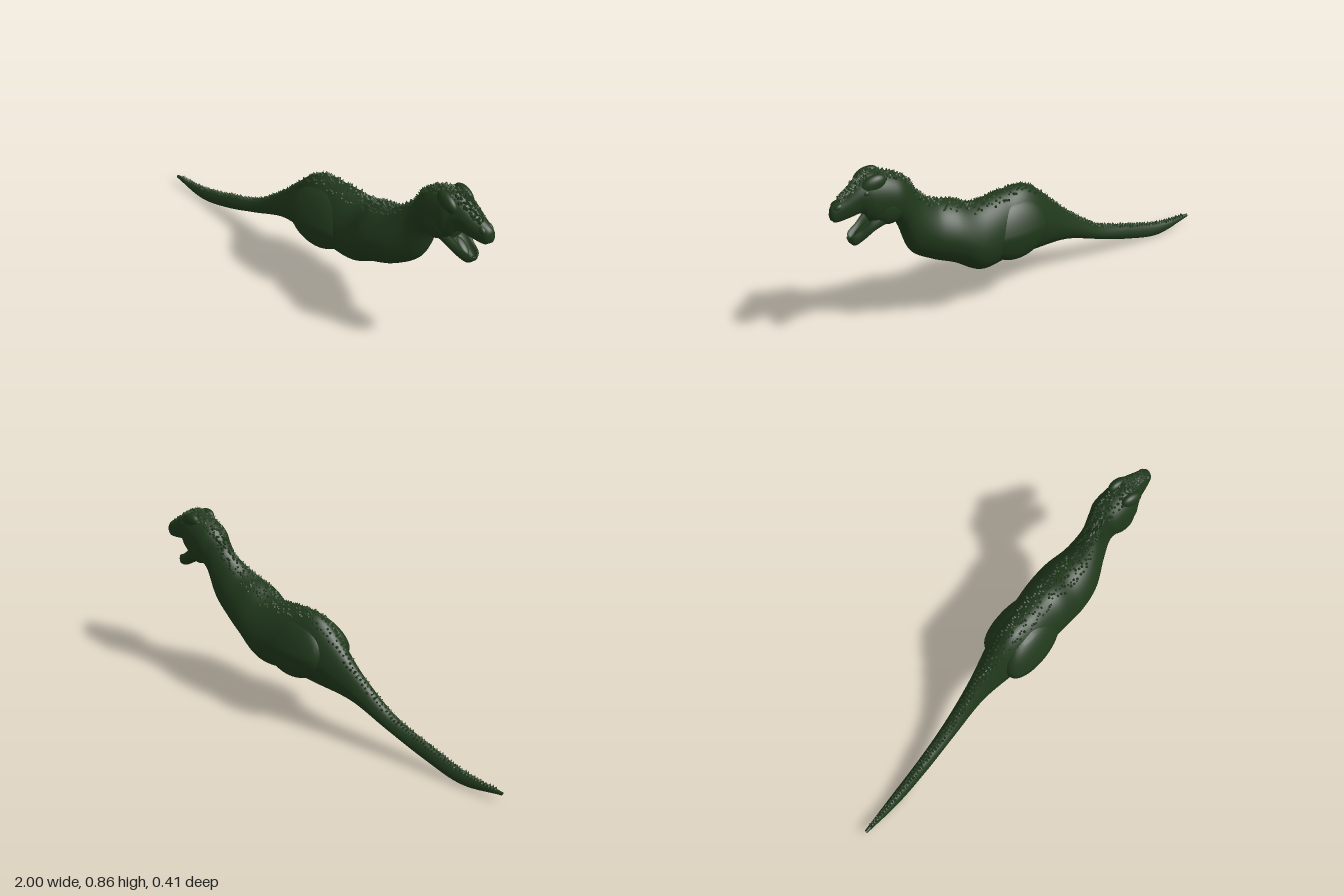
import * as THREE from 'three';
import { mergeGeometries, toCreasedNormals } from 'three/addons/utils/BufferGeometryUtils.js';

const material = new THREE.MeshStandardMaterial({ color: 0x20381b, side: THREE.DoubleSide });
const { smoothstep, lerp } = THREE.MathUtils;

// Small seeded generator
let seed = 7;
const rand = () => (seed = (seed * 16807) % 2147483647) / 2147483647;

// Ring: [topX, topY, bottomX, bottomY, z, halfWidth]
const BODY = [
  [-1, 0.052, -1, 0.036, 0.193, 0.008],
  [-0.8, 0.068, -0.8, 0.002, 0.155, 0.025],
  [-0.6, 0.125, -0.6, 0.046, 0.12, 0.032],
  [-0.4, 0.198, -0.4, 0.118, 0.08, 0.039],
  [-0.2, 0.352, -0.2, 0.19, 0.04, 0.055],
  [0, 0.54, 0, 0.204, 0.008, 0.1],
  [0.15, 0.556, 0.15, 0.215, -0.015, 0.122],
  [0.3, 0.547, 0.3, 0.216, -0.048, 0.137],
  [0.4, 0.585, 0.43, 0.29, -0.052, 0.138],
  [0.5, 0.617, 0.54, 0.34, -0.062, 0.115],
  [0.59, 0.695, 0.635, 0.415, -0.092, 0.08],
  [0.63, 0.765, 0.685, 0.55, -0.107, 0.073],
  [0.69, 0.815, 0.715, 0.597, -0.112, 0.087],
  [0.8, 0.852, 0.8, 0.602, -0.117, 0.086],
  [0.84, 0.842, 0.834, 0.64, -0.125, 0.073],
  [0.875, 0.82, 0.862, 0.69, -0.132, 0.06],
  [0.93, 0.778, 0.92, 0.684, -0.143, 0.046],
  [0.985, 0.745, 0.98, 0.672, -0.153, 0.028],
  [1, 0.712, 0.996, 0.685, -0.157, 0.01],
];
const JAW = [
  [0.76, 0.7, 0.74, 0.605, -0.117, 0.072],
  [0.83, 0.645, 0.805, 0.59, -0.126, 0.065],
  [0.87, 0.613, 0.855, 0.556, -0.133, 0.052],
  [0.912, 0.59, 0.897, 0.534, -0.14, 0.036],
  [0.928, 0.573, 0.92, 0.55, -0.143, 0.012],
];

// Hollows from 0 to 1: the palate below the snout, the mouth floor above the jaw
const palate = (t) => smoothstep(t, 0.74, 0.82) * (1 - smoothstep(t, 0.9, 1));
const mouthFloor = (t) => Math.min(1, 1.5 * Math.sin(Math.PI * t));

// Smooth surface through the rings: t runs along the spine, a around it from the top;
// face is -1 to hollow the underside, 1 to hollow the upper side;
// taper narrows the upper half of the trunk
function surface(rings, hollow, face, taper) {
  const curve = (pick) => new THREE.CatmullRomCurve3(
    rings.map((r) => new THREE.Vector3(...pick(r))), false, 'catmullrom', 0.5);
  const top = curve((r) => [r[0], r[1], r[4]]);
  const bottom = curve((r) => [r[2], r[3], r[4]]);
  const width = curve((r) => [r[5], 0, 0]);
  return (t, a) => {
    let h = Math.cos(a);
    const narrow = 1 - taper * Math.max(0, h) * (1 - smoothstep(t, 0.5, 0.65));
    if (h * face > 0) {
      const m = Math.abs(h);
      const rim = m < 0.7 ? m / 0.7 : 1 - 3 * (m - 0.7);
      h = face * lerp(m, rim, hollow(t));
    }
    const v = top.getPoint(t).lerp(bottom.getPoint(t), (1 - h) / 2);
    v.z += width.getPoint(t).x * narrow * Math.sin(a);
    return v;
  };
}

function loft(at, steps, sides) {
  const pos = [], index = [];
  for (let i = 0; i <= steps; i++)
    for (let j = 0; j < sides; j++) pos.push(...at(i / steps, (j / sides) * Math.PI * 2));
  for (let i = 0; i < steps; i++)
    for (let j = 0; j < sides; j++) {
      const k = (j + 1) % sides;
      const a = i * sides + j, b = a + sides, c = i * sides + k, d = c + sides;
      index.push(a, c, b, b, c, d);
    }
  // End caps
  const e = steps * sides;
  for (let j = 1; j < sides - 1; j++) index.push(0, j + 1, j, e, e + j, e + j + 1);
  const g = new THREE.BufferGeometry();
  g.setAttribute('position', new THREE.Float32BufferAttribute(pos, 3));
  g.setIndex(index);
  g.computeVertexNormals();
  return g;
}

export function createModel() {
  const model = new THREE.Group();
  model.name = 'dinosaur';
  const add = (name, geometry) => {
    const mesh = new THREE.Mesh(geometry, material);
    mesh.name = name;
    model.add(mesh);
    return mesh;
  };
  const blob = (name, position, radii, tilt) => {
    const mesh = add(name, new THREE.SphereGeometry(1, 24, 16));
    mesh.position.set(...position);
    mesh.scale.set(...radii);
    mesh.rotation.z = tilt;
  };

  // Tail, trunk, neck and skull in one skin, with an open lower jaw
  const skin = surface(BODY, palate, -1, 0.18);
  add('body', loft(skin, 180, 48));
  add('lowerJaw', loft(surface(JAW, mouthFloor, 1, 0), 40, 40));
  blob('tongue', [0.855, 0.594, -0.131], [0.045, 0.01, 0.02], -0.6);

  for (const side of [1, -1]) {
    const label = side > 0 ? 'left' : 'right';

    // Thigh: flat-faced dome following the trunk, cut off at the front, leaning in at the top
    const dome = new THREE.SphereGeometry(1, 48, 32);
    const p = dome.attributes.position;
    for (let i = 0; i < p.count; i++) {
      const x = Math.min(0.17 * p.getX(i), 0.145), y = 0.148 * p.getY(i), z = p.getZ(i);
      const depth = 0.08 * Math.sign(z) * Math.abs(z) ** 0.75;
      p.setXYZ(i, x, y, depth - 0.16 * x - side * 0.3 * Math.max(0, y));
    }
    const thigh = add(label + 'Thigh', toCreasedNormals(dome, 0.7));
    thigh.position.set(0.11, 0.38, side > 0 ? 0.066 : -0.073);

    // Head details, mirrored about the skull's centre line
    blob(label + 'Cheek', [0.745, 0.685, -0.112 + side * 0.05], [0.075, 0.075, 0.042], 0.3);
    blob(label + 'Brow', [0.805, 0.81, -0.118 + side * 0.045], [0.06, 0.038, 0.028], -0.35);
    blob(label + 'Eye', [0.842, 0.783, -0.126 + side * 0.058], [0.014, 0.012, 0.01], -0.3);
    blob(label + 'Nostril', [0.962, 0.738, -0.149 + side * 0.02], [0.022, 0.015, 0.013], -0.5);
  }

  // Low scutes scattered in rows along the spine, from tail tip to snout
  const scutes = [], up = new THREE.Vector3(0, 1, 0);
  for (let i = 0; i < 200; i++) {
    const t = 0.01 + 0.9 * (i / 200);
    for (const row of [-1, 0, 1]) {
      const a = row * 0.4 + (rand() - 0.5) * 0.35;
      const at = skin(t, a);
      const along = skin(t + 0.01, a).sub(at);
      const normal = skin(t, a + 0.05).sub(at).cross(along).normalize();
      const height = 0.008 + rand() * 0.01;
      const g = new THREE.ConeGeometry(0.007 + rand() * 0.005, height, 5);
      g.applyQuaternion(new THREE.Quaternion().setFromUnitVectors(up, normal));
      at.addScaledVector(normal, height * 0.2);
      scutes.push(g.translate(at.x, at.y, at.z));
    }
  }
  add('backScutes', mergeGeometries(scutes));

  return model;
}
